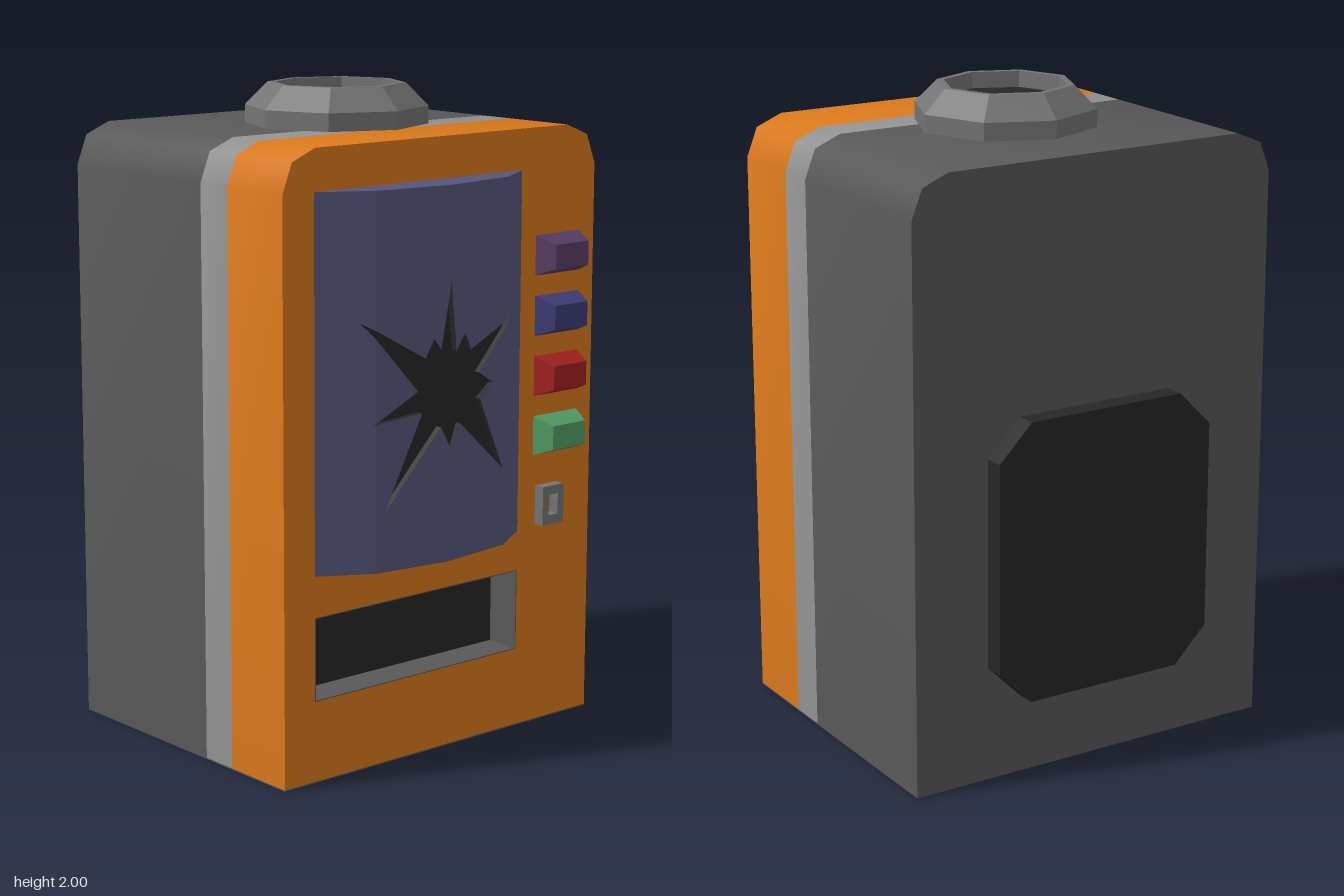
import * as THREE from 'three';
import { toCreasedNormals } from 'three/addons/utils/BufferGeometryUtils.js';

const ORANGE = 0xd9781c, DARK = 0x585858, BAND = 0x929292, BLACK = 0x262626, GLASS = 0x55557a, METAL = 0x747474;

function add(group, name, geometry, color, options = {}) {
  const mesh = new THREE.Mesh(geometry, new THREE.MeshStandardMaterial({ color, ...options }));
  mesh.name = name;
  group.add(mesh);
  return mesh;
}

const shapeOf = (points) => new THREE.Shape(points.map(([x, y]) => new THREE.Vector2(x, y)));
const rect = (x0, x1, y0, y1) => shapeOf([[x0, y0], [x1, y0], [x1, y1], [x0, y1]]);

function slab(shape, z0, z1) {
  const geo = new THREE.ExtrudeGeometry(shape, { depth: z1 - z0, bevelEnabled: false });
  return geo.translate(0, 0, z0);
}

// Cabinet outline with rounded upper corners
function cabinetShape() {
  const right = [[0.62, 0.004], [0.62, 1.75], [0.585, 1.84], [0.5, 1.875]];
  return shapeOf([...right, ...right.map(([x, y]) => [-x, y]).reverse()]);
}

// Flat quads given as four corners each
function quadGeometry(quads) {
  const pos = quads.flatMap(([a, b, c, d]) => [a, b, c, a, c, d].flat());
  const geo = new THREE.BufferGeometry();
  geo.setAttribute('position', new THREE.Float32BufferAttribute(pos, 3));
  geo.computeVertexNormals();
  return geo;
}

// Faceted bulging window with a star-shaped break, cut into vertical strips
function addWindow(group) {
  const y0 = 0.63, y1 = 1.75, zBase = 0.465, recess = 0.02;
  const profile = [[-0.505, zBase], [-0.35, 0.555], [-0.095, 0.59], [0.165, 0.555], [0.31, zBase]];
  const star = [
    [-0.09, 1.47], [-0.065, 1.26], [-0.025, 1.31], [0, 1.255], [0.205, 1.335], [0.04, 1.18],
    [0.105, 1.14], [0.045, 1.1], [0.155, 0.87], [-0.045, 1.04], [-0.08, 0.955], [-0.125, 1.04],
    [-0.32, 0.805], [-0.19, 1.09], [-0.36, 1.07], [-0.205, 1.155], [-0.39, 1.37], [-0.18, 1.25],
    [-0.15, 1.305], [-0.125, 1.27]];
  const edges = star.map((p, i) => [p, star[(i + 1) % star.length]].sort((a, b) => a[0] - b[0]));
  const depthAt = (x) => {
    const i = Math.max(1, profile.findIndex((p) => p[0] >= x));
    const [a, b] = [profile[i - 1], profile[i]];
    return a[1] + (b[1] - a[1]) * (x - a[0]) / (b[0] - a[0]);
  };
  const yAt = ([p, q], x) => p[1] + (q[1] - p[1]) * (x - p[0]) / (q[0] - p[0]);
  const xs = [...new Set([...profile, ...star].map((p) => p[0]))].sort((a, b) => a - b);
  const glass = [], inside = [];
  for (let i = 0; i + 1 < xs.length; i++) {
    const a = xs[i], b = xs[i + 1], za = depthAt(a), zb = depthAt(b);
    const cuts = edges.filter(([p, q]) => p[0] <= a && q[0] >= b && q[0] > p[0])
      .map((e) => [yAt(e, a), yAt(e, b)]).sort((p, q) => p[0] + p[1] - q[0] - q[1]);
    const levels = [[y0, y0], ...cuts, [y1, y1]];
    for (let k = 0; k + 1 < levels.length; k++) {
      const [lo, hi] = [levels[k], levels[k + 1]];
      const d = k % 2 ? recess : 0;
      (k % 2 ? inside : glass).push(
        [[a, lo[0], za - d], [b, lo[1], zb - d], [b, hi[1], zb - d], [a, hi[0], za - d]]);
    }
    // Broken rim of the star
    for (const [ya, yb] of cuts) {
      inside.push([[a, ya, za], [b, yb, zb], [b, yb, zb - recess], [a, ya, za - recess]]);
    }
    // Top and bottom caps
    glass.push([[a, y1, za], [b, y1, zb], [b, y1, zBase], [a, y1, zBase]]);
    glass.push([[a, y0, zBase], [b, y0, zBase], [b, y0, zb], [a, y0, za]]);
  }
  add(group, 'windowGlass', quadGeometry(glass), GLASS, { side: THREE.DoubleSide, flatShading: true });
  add(group, 'windowBreak', quadGeometry(inside), BLACK, { side: THREE.DoubleSide, flatShading: true });
}

// Push button tapering towards its front
function buttonGeometry() {
  const geo = new THREE.BoxGeometry(0.185, 0.124, 0.065);
  const pos = geo.attributes.position;
  for (let i = 0; i < pos.count; i++) {
    if (pos.getZ(i) > 0) pos.setXY(i, pos.getX(i) * 0.75, pos.getY(i) * 0.6);
  }
  geo.computeVertexNormals();
  return geo;
}

export function createModel() {
  const group = new THREE.Group();

  // Cabinet in three layers, on a dark base
  const front = cabinetShape();
  front.holes.push(rect(-0.505, 0.31, 0.25, 0.505));
  const layers = [
    ['cabinetBack', cabinetShape(), -0.53, 0.09, DARK],
    ['cabinetBand', cabinetShape(), 0.09, 0.215, BAND],
    ['cabinetFront', front, 0.215, 0.465, ORANGE]];
  for (const [name, shape, z0, z1, color] of layers) {
    add(group, name, toCreasedNormals(slab(shape, z0, z1), 0.9), color);
  }
  add(group, 'base', new THREE.BoxGeometry(1.24, 0.004, 0.995).translate(0, 0.002, -0.0325), DARK);

  // Delivery slot: lining and dark back
  const lining = rect(-0.505, 0.31, 0.25, 0.505);
  lining.holes.push(rect(-0.502, 0.307, 0.253, 0.502));
  add(group, 'slotLining', slab(lining, 0.35, 0.465), DARK);
  add(group, 'slotBack', slab(rect(-0.505, 0.31, 0.25, 0.505), 0.33, 0.352), BLACK);

  addWindow(group);

  // Selection buttons
  [0x5a3c66, 0x3c3c78, 0xa32020, 0x529c64].forEach((color, i) => {
    add(group, 'button' + (i + 1), buttonGeometry(), color).position.set(0.465, 1.485 - i * 0.1875, 0.4975);
  });

  // Coin plate with a slit
  const plate = rect(0.385, 0.475, 0.64, 0.763);
  plate.holes.push(rect(0.411, 0.45, 0.67, 0.735));
  add(group, 'coinPlate', slab(plate, 0.465, 0.5), METAL);

  // Rear panel with cut corners
  const w = 0.373, c = 0.11, lo = 0.25, hi = 1.125;
  const panel = shapeOf([[w - c, lo], [w, lo + c], [w, hi - c], [w - c, hi],
    [c - w, hi], [-w, hi - c], [-w, lo + c], [c - w, lo]]);
  add(group, 'rearPanel', slab(panel, -0.595, -0.53), BLACK);

  // Octagonal inlet on the roof
  const rim = [[0.282, 1.87], [0.282, 1.93], [0.212, 2], [0.19, 2], [0.19, 1.945]];
  const inlet = new THREE.LatheGeometry(rim.map(([x, y]) => new THREE.Vector2(x, y)), 8);
  add(group, 'inletRim', inlet, METAL, { flatShading: true }).position.z = -0.033;
  const floor = new THREE.CylinderGeometry(0.192, 0.192, 0.07, 8);
  add(group, 'inletFloor', floor, BLACK, { flatShading: true }).position.set(0, 1.915, -0.033);

  return group;
}
